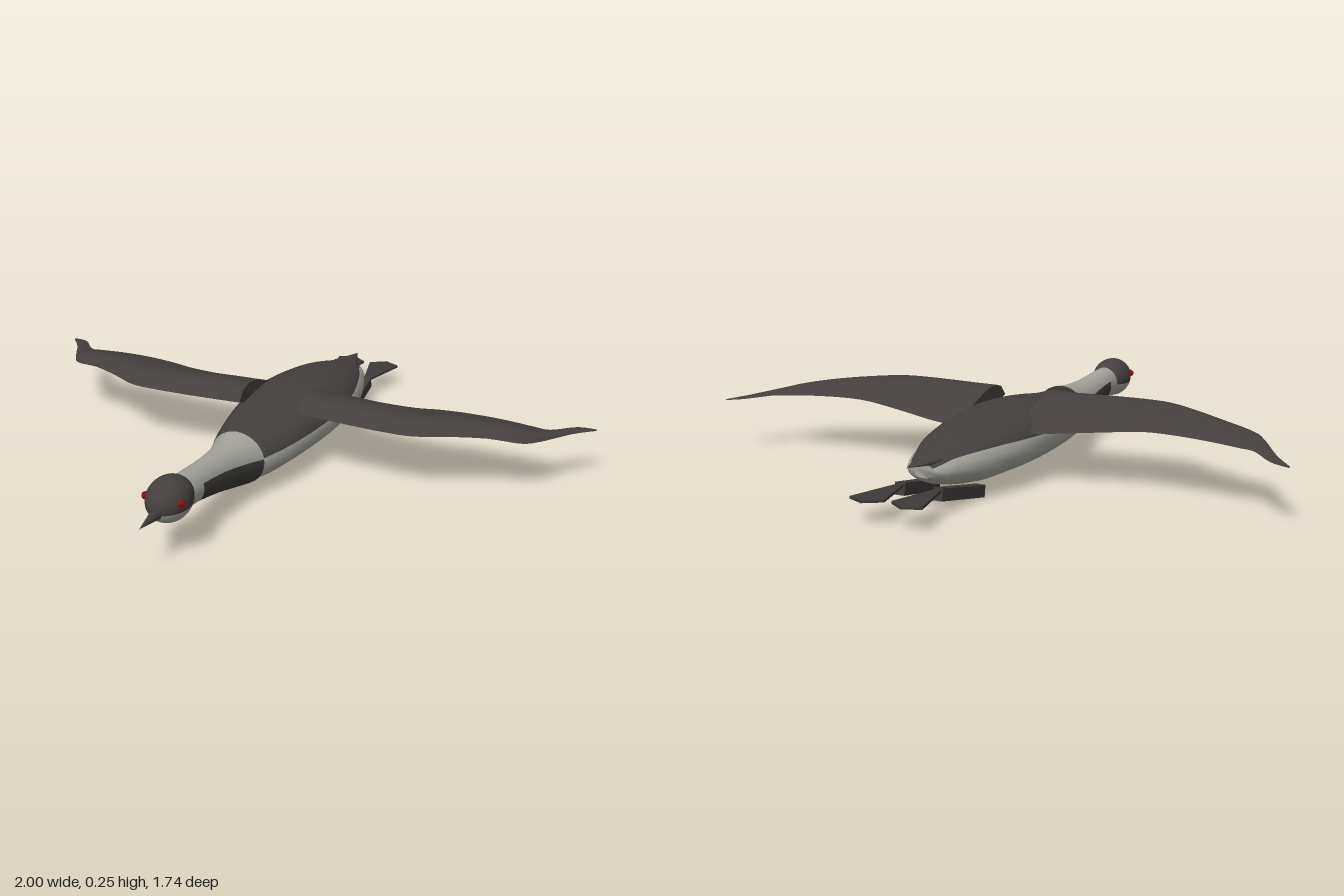
import * as THREE from 'three';
import { toCreasedNormals } from 'three/addons/utils/BufferGeometryUtils.js';

const mat = (name, color) => Object.assign(new THREE.MeshStandardMaterial({ color }), { name });

// Smoothly resample a short table of section rows (Catmull-Rom per column)
function resample(rows, steps) {
  const out = [];
  const last = rows.length - 1;
  for (let i = 0; i < last; i++) {
    const [a, b, c, d] = [rows[Math.max(i - 1, 0)], rows[i], rows[i + 1], rows[Math.min(i + 2, last)]];
    for (let s = 0; s < steps; s++) {
      const t = s / steps;
      out.push(b.map((p1, k) => p1 + 0.5 * t * (c[k] - a[k]
        + t * (2 * a[k] - 5 * p1 + 4 * c[k] - d[k] + t * (3 * (p1 - c[k]) + d[k] - a[k])))));
    }
  }
  out.push(rows[last]);
  return out;
}

// Skin closed rings; the first `split` columns use material 0, the rest material 1
function skin(rings, split, crease) {
  const n = rings[0].length, m = rings.length;
  const pos = rings.flat(2), upper = [], lower = [];
  for (let i = 0; i < m - 1; i++) {
    for (let j = 0; j < n; j++) {
      const k = (j + 1) % n;
      const a = i * n + j, b = i * n + k, c = b + n, d = a + n;
      (j < split ? upper : lower).push(a, d, b, b, d, c);
    }
  }
  for (let j = 1; j < n - 1; j++) {
    upper.push(0, j, j + 1);
    const e = (m - 1) * n;
    lower.push(e, e + j + 1, e + j);
  }
  const g = new THREE.BufferGeometry();
  g.setAttribute('position', new THREE.Float32BufferAttribute(pos, 3));
  g.setIndex([...upper, ...lower]);
  g.addGroup(0, upper.length, 0);
  g.addGroup(upper.length, lower.length, 1);
  return toCreasedNormals(g, crease);
}

// Oval sections along z: [z, halfWidth, top, bottom, height of the colour line]
function ovalLoft(rows, half = 14) {
  const rings = resample(rows, 4).map(([z, w, top, bot, line]) => {
    const cy = (top + bot) / 2, h = (top - bot) / 2;
    const s = Math.asin(THREE.MathUtils.clamp((line - cy) / h, -0.99, 0.99));
    const ring = [];
    for (let j = 0; j < half * 2; j++) {
      const a = j < half
        ? s + (Math.PI - 2 * s) * j / half
        : Math.PI - s + (Math.PI + 2 * s) * (j - half) / half;
      ring.push([w * Math.cos(a), cy + h * Math.sin(a), z]);
    }
    return ring;
  });
  return skin(rings, half, 0.9);
}

// Wing sections along x: [x, leadZ, trailZ, leadY, trailY, arch]
function wingLoft(rows, half = 12) {
  const rings = resample(rows, 4).map(([x, lz, tz, ly, ty, arch]) => {
    const ring = [];
    for (let j = 0; j < half * 2; j++) {
      const over = j < half;
      const t = over ? j / half : 2 - j / half;
      const bulge = Math.sin(Math.PI * Math.pow(t, 0.6)) * arch * (over ? 1 : -0.12);
      ring.push([x, ly + (ty - ly) * t + bulge, lz + (tz - lz) * t]);
    }
    return ring;
  });
  return skin(rings, half, 0.9);
}

export function createModel() {
  const model = new THREE.Group();
  const dark = mat('dark plumage', 0x453f3f);
  const pale = mat('pale plumage', 0xa3a39b);
  const throat = mat('throat', 0x3b3937);
  const horn = mat('bill and legs', 0x3d3a39);
  const red = mat('red eye', 0x8a1218);
  const add = (name, geometry, material, parent = model) => {
    const mesh = new THREE.Mesh(geometry, material);
    mesh.name = name;
    parent.add(mesh);
    return mesh;
  };

  // Body with dark back and pale belly
  add('body', ovalLoft([
    [0.31, 0.06, 0.17, 0.07, 0.13], [0.25, 0.1, 0.2, 0.042, 0.14], [0.15, 0.132, 0.208, 0.036, 0.143],
    [0, 0.158, 0.228, 0.031, 0.147], [-0.15, 0.172, 0.235, 0.03, 0.152], [-0.3, 0.166, 0.222, 0.031, 0.157],
    [-0.45, 0.137, 0.2, 0.036, 0.157], [-0.57, 0.095, 0.168, 0.058, 0.148], [-0.62, 0.072, 0.152, 0.075, 0.138],
    [-0.65, 0.045, 0.137, 0.095, 0.128],
  ]), [dark, pale]);

  // Neck with dark throat patch, and the pale collar behind the head
  add('neck', ovalLoft([
    [0.575, 0.05, 0.217, 0.108, 0.18], [0.46, 0.055, 0.207, 0.083, 0.166],
    [0.35, 0.068, 0.205, 0.054, 0.148], [0.262, 0.094, 0.213, 0.034, 0.136],
  ]), [pale, throat]);
  add('collar', ovalLoft([
    [0.65, 0.048, 0.221, 0.113, 0.16], [0.575, 0.05, 0.217, 0.108, 0.16],
  ]), [pale, pale]);

  // Head: dark cap over pale chin
  const head = new THREE.Group();
  head.name = 'head';
  head.position.set(0, 0.175, 0.693);
  model.add(head);
  const cut = 1.83;
  add('cap', new THREE.SphereGeometry(1, 32, 16, 0, Math.PI * 2, 0, cut), dark, head).scale.set(0.067, 0.069, 0.087);
  add('chin', new THREE.SphereGeometry(1, 32, 12, 0, Math.PI * 2, cut, Math.PI - cut), pale, head).scale.set(0.067, 0.069, 0.087);
  const bill = add('bill', new THREE.ConeGeometry(0.022, 0.115, 16), horn, head);
  bill.rotation.x = Math.PI / 2 + 0.05;
  bill.position.set(0, -0.017, 0.116);

  // Tail: flattened point
  const tail = add('tail', new THREE.ConeGeometry(1, 0.125, 12), dark);
  tail.rotation.x = -Math.PI / 2;
  tail.scale.set(0.05, 1, 0.017);
  tail.position.set(0, 0.144, -0.67);

  const wingGeometry = wingLoft([
    [0.105, 0.045, -0.275, 0.212, 0.165, 0.056], [0.2, 0.053, -0.262, 0.212, 0.17, 0.054],
    [0.3, 0.06, -0.238, 0.212, 0.178, 0.052], [0.42, 0.068, -0.217, 0.214, 0.19, 0.046],
    [0.51, 0.062, -0.215, 0.215, 0.2, 0.04], [0.61, 0.01, -0.222, 0.212, 0.202, 0.036],
    [0.72, -0.045, -0.23, 0.205, 0.198, 0.03], [0.82, -0.078, -0.235, 0.194, 0.19, 0.022],
    [0.87, -0.135, -0.242, 0.188, 0.186, 0.016], [0.94, -0.25, -0.315, 0.181, 0.18, 0.008],
    [1, -0.322, -0.335, 0.175, 0.175, 0.002],
  ]);
  const webShape = new THREE.Shape([
    [0.057, 0.66], [0.073, 0.66], [0.122, 0.845], [0.066, 0.87], [0.012, 0.833],
  ].map(([x, y]) => new THREE.Vector2(x, y)));
  const webGeometry = new THREE.ExtrudeGeometry(webShape, { depth: 0.008, bevelEnabled: false });
  webGeometry.rotateX(-Math.PI / 2);

  // Mirrored parts
  for (const side of [1, -1]) {
    const half = new THREE.Group();
    half.name = side > 0 ? 'leftSide' : 'rightSide';
    half.scale.x = side;
    model.add(half);
    add('wing', wingGeometry, [dark, pale], half);
    add('eye', new THREE.SphereGeometry(0.012, 16, 12), red, half).position.set(0.059, 0.188, 0.73);
    const leg = add('leg', new THREE.BoxGeometry(0.034, 0.038, 0.225), horn, half);
    leg.position.set(0.073, 0.04, -0.562);
    leg.rotation.set(0.18, 0.07, 0);
    add('foot', webGeometry, horn, half).position.y = 0.066;
  }
  return model;
}
